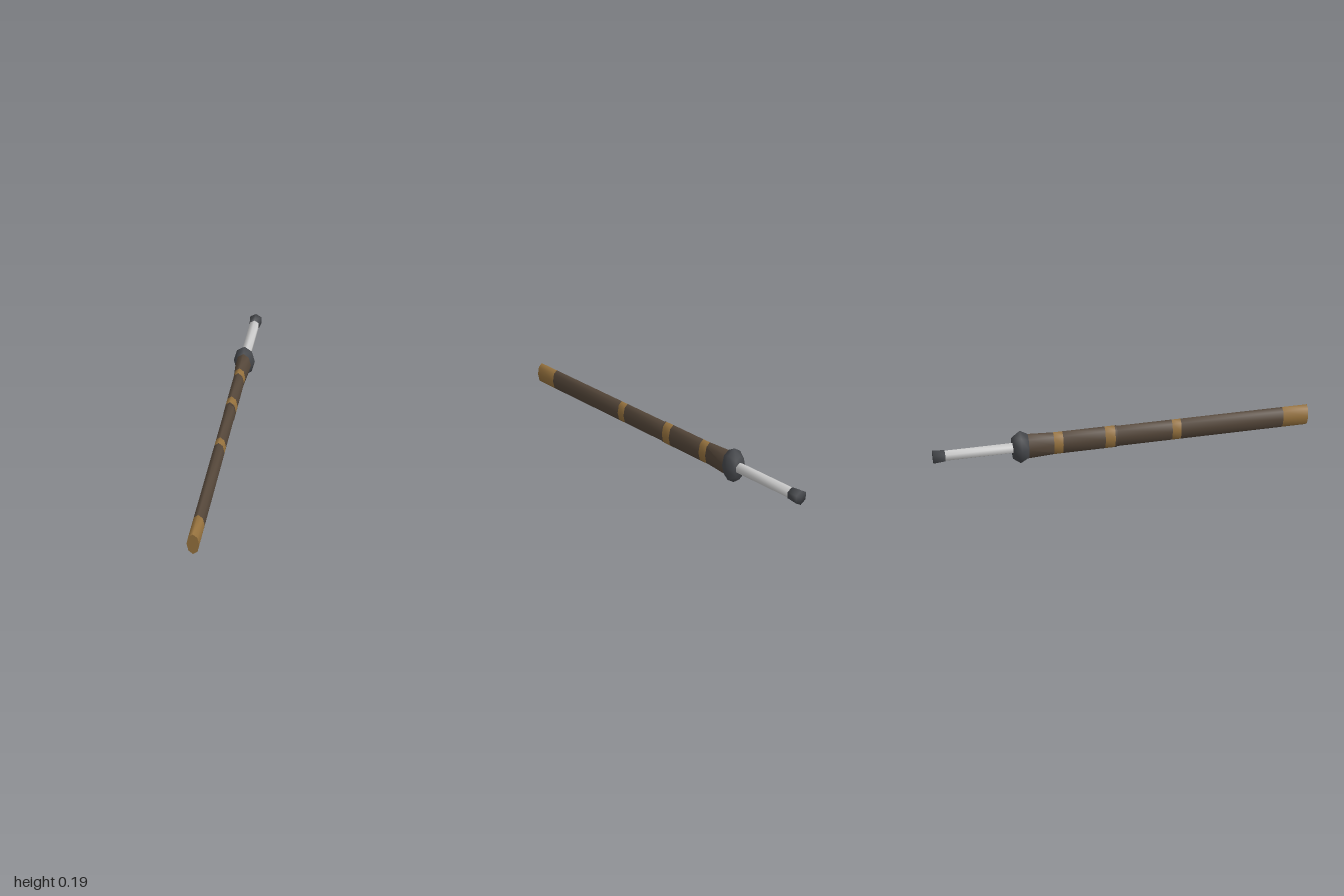
import * as THREE from 'three';
import { toCreasedNormals } from 'three/addons/utils/BufferGeometryUtils.js';

const WOOD = 0x55473a, BRASS = 0x96723e, IRON = 0x46484c, GRIP = 0xcccccc;
const AXIS_Y = 0.095;

// Lofts an elliptical prism through sections [z, rx, ry], listed by rising z
function loft(sections, sides, crease) {
  const steps = sections.length - 1;
  const geo = new THREE.CylinderGeometry(1, 1, 1, sides, steps).rotateX(Math.PI / 2);
  const pos = geo.attributes.position;
  for (let i = 0; i < pos.count; i++) {
    const [z, rx, ry] = sections[Math.round((pos.getZ(i) + 0.5) * steps)];
    pos.setXYZ(i, pos.getX(i) * rx, pos.getY(i) * ry, z);
  }
  return toCreasedNormals(geo, crease);
}

export function createModel() {
  const group = new THREE.Group();
  const materials = {};
  const material = (color) => (materials[color] ??= new THREE.MeshStandardMaterial({ color }));

  function add(name, color, sections, sides = 8, crease = 1.5) {
    const mesh = new THREE.Mesh(loft(sections, sides, crease), material(color));
    mesh.name = name;
    mesh.position.y = AXIS_Y;
    group.add(mesh);
  }

  // Scabbard: straight wooden and brass lengths; the rear ones are a little thicker
  const thin = [0.03, 0.059], thick = [0.032, 0.063];
  const lengths = [
    ['scabbardTip', BRASS, 0.86, 1, thin],
    ['scabbardFront', WOOD, 0.295, 0.86, thin],
    ['frontBand', BRASS, 0.247, 0.295, thin],
    ['scabbardMiddle', WOOD, -0.05, 0.247, thin],
    ['collar', WOOD, -0.06, -0.05, thick],
    ['middleBand', BRASS, -0.113, -0.06, thick],
    ['scabbardRear', WOOD, -0.335, -0.113, thick],
    ['rearBand', BRASS, -0.383, -0.335, thick],
  ];
  for (const [name, color, z0, z1, size] of lengths) {
    add(name, color, [[z0, ...size], [z1, ...size]]);
  }

  // Flared mouth of the scabbard
  add('scabbardMouth', WOOD, [[-0.53, 0.044, 0.071], [-0.383, ...thick]]);

  // Guard, softly shaded and bulging in the middle
  add('guard', IRON, [[-0.595, 0.038, 0.062], [-0.555, 0.059, 0.093], [-0.515, 0.043, 0.07]], 8, Math.PI);

  // Six-sided grip and flared pommel
  add('grip', GRIP, [[-0.95, 0.029, 0.029], [-0.585, 0.029, 0.029]], 6);
  add('pommel', IRON, [[-1, 0.038, 0.038], [-0.94, 0.032, 0.032]], 6, Math.PI);

  return group;
}
